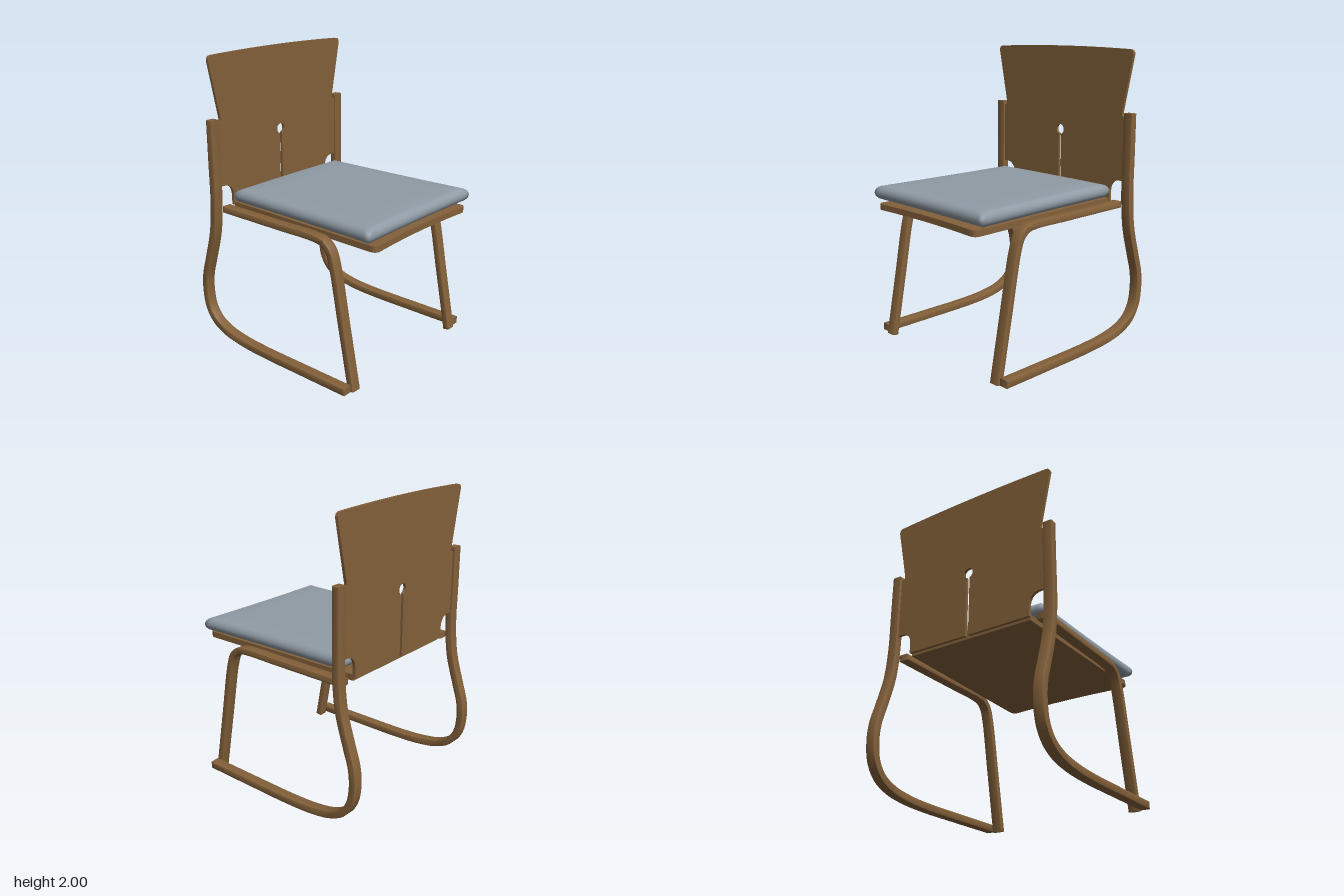
import * as THREE from 'three';
import { mergeVertices, toCreasedNormals } from 'three/addons/utils/BufferGeometryUtils.js';

const wood = new THREE.MeshStandardMaterial({ color: 0x84613a });
wood.name = 'wood';
const fabric = new THREE.MeshStandardMaterial({ color: 0x909ba5 });
fabric.name = 'greyFabric';

function addMesh(group, name, geometry, material) {
  const mesh = new THREE.Mesh(geometry, material);
  mesh.name = name;
  group.add(mesh);
}

// Bent wooden strip: a [z, y] centre line given thickness, extruded from x0 to x1
function strip(points, thickness, x0, x1) {
  const bevel = 0.007;
  const curve = new THREE.CatmullRomCurve3(
    points.map(([z, y]) => new THREE.Vector3(z, y, 0)), false, 'centripetal');
  const near = [], far = [], n = 80, half = thickness / 2 - bevel;
  for (let i = 0; i <= n; i++) {
    const p = curve.getPointAt(i / n), t = curve.getTangentAt(i / n);
    near.push(new THREE.Vector2(p.x - t.y * half, p.y + t.x * half));
    far.unshift(new THREE.Vector2(p.x + t.y * half, p.y - t.x * half));
  }
  const g = new THREE.ExtrudeGeometry(new THREE.Shape([...near, ...far]), {
    depth: x1 - x0 - 2 * bevel, bevelEnabled: true,
    bevelSize: bevel, bevelThickness: bevel, bevelSegments: 2,
  });
  g.rotateY(-Math.PI / 2).translate(x1 - bevel, 0, 0);
  return toCreasedNormals(g, 0.6);
}

// Back panel: flared top, shoulders on the uprights, lower notches, keyhole slot
function backPanel() {
  const s = new THREE.Shape();
  s.moveTo(0.011, 0.96);
  s.lineTo(0.465, 0.96);
  s.lineTo(0.465, 1.02);
  s.bezierCurveTo(0.465, 1.09, 0.50, 1.125, 0.58, 1.112);
  s.lineTo(0.58, 1.545);
  s.quadraticCurveTo(0.545, 1.545, 0.553, 1.58);
  s.lineTo(0.63, 1.955);
  s.quadraticCurveTo(0.63, 1.985, 0.60, 1.988);
  s.quadraticCurveTo(0, 2.012, -0.60, 1.988);
  s.quadraticCurveTo(-0.63, 1.985, -0.63, 1.955);
  s.lineTo(-0.553, 1.58);
  s.quadraticCurveTo(-0.545, 1.545, -0.58, 1.545);
  s.lineTo(-0.58, 1.112);
  s.bezierCurveTo(-0.50, 1.125, -0.465, 1.09, -0.465, 1.02);
  s.lineTo(-0.465, 0.96);
  s.lineTo(-0.011, 0.96);
  const a = Math.asin(0.011 / 0.035);
  s.absarc(0, 1.413, 0.035, -Math.PI / 2 - a, -Math.PI / 2 + a, true);
  s.lineTo(0.011, 0.96);
  const g = new THREE.ExtrudeGeometry(s, { depth: 0.02, bevelEnabled: false, curveSegments: 20 });
  g.translate(0, 0, -0.56);
  return toCreasedNormals(g, 0.6);
}

// Seat board: narrower at the back, gently hollowed front edge
function seatBoard() {
  const s = new THREE.Shape();
  s.moveTo(-0.46, 0.54);
  s.lineTo(0.46, 0.54);
  s.lineTo(0.49, -0.66);
  s.quadraticCurveTo(0.49, -0.70, 0.45, -0.703);
  s.quadraticCurveTo(0, -0.665, -0.45, -0.703);
  s.quadraticCurveTo(-0.49, -0.70, -0.49, -0.66);
  s.lineTo(-0.46, 0.54);
  const g = new THREE.ExtrudeGeometry(s, { depth: 0.04, bevelEnabled: false, curveSegments: 16 });
  g.rotateX(-Math.PI / 2).translate(0, 0.942, 0);
  return toCreasedNormals(g, 0.6);
}

// Cushion: a subdivided box with rounded edges, taper, slightly hollow sides and a soft crown
function cushionPad() {
  let g = new THREE.BoxGeometry(2, 2, 2, 28, 10, 28);
  g.deleteAttribute('uv');
  g.deleteAttribute('normal');
  g = mergeVertices(g);
  const p = g.attributes.position;
  for (let i = 0; i < p.count; i++) {
    const u = p.getX(i), w = p.getY(i), v = p.getZ(i);
    const inset = 0.05 * (1 - Math.cos(w * Math.PI / 2));
    const halfX = 0.527 + 0.015 * v - 0.006 * (1 - v * v) - inset;
    const halfZ = 0.588 - 0.008 * (1 - u * u) * (v > 0 ? 1 : -0.8) - inset;
    const edge = Math.max(Math.abs(u), Math.abs(v));
    const height = 0.056 - 0.008 * edge ** 8;
    p.setXYZ(i, u * halfX, 1.046 + Math.sin(w * Math.PI / 2) * height, 0.105 + v * halfZ);
  }
  g.computeVertexNormals();
  return g;
}

export function createModel() {
  const chair = new THREE.Group();
  chair.name = 'chair';

  // Outer runner: back upright sweeping down into the floor rail
  const runner = [
    [-0.552, 1.567], [-0.552, 1.3], [-0.552, 1.02], [-0.575, 0.8], [-0.632, 0.6],
    [-0.674, 0.46], [-0.682, 0.34], [-0.66, 0.22], [-0.60, 0.135], [-0.50, 0.082],
    [-0.35, 0.052], [-0.15, 0.039], [0.2, 0.037], [0.585, 0.037],
  ];
  // Inner rail: front leg bending back under the seat
  const leg = [
    [0.585, 0.013], [0.505, 0.43], [0.428, 0.82], [0.397, 0.9], [0.345, 0.943],
    [0.27, 0.955], [0, 0.955], [-0.53, 0.955],
  ];
  for (const [side, name] of [[1, 'left'], [-1, 'right']]) {
    const span = (a, b) => (side > 0 ? [a, b] : [-b, -a]);
    const frame = new THREE.Group();
    frame.name = name + 'SideFrame';
    addMesh(frame, name + 'Runner', strip(runner, 0.05, ...span(0.575, 0.645)), wood);
    addMesh(frame, name + 'FrontLegAndSeatRail', strip(leg, 0.044, ...span(0.502, 0.575)), wood);
    chair.add(frame);
  }

  addMesh(chair, 'backPanel', backPanel(), wood);
  addMesh(chair, 'seatBoard', seatBoard(), wood);
  addMesh(chair, 'cushion', cushionPad(), fabric);
  return chair;
}
